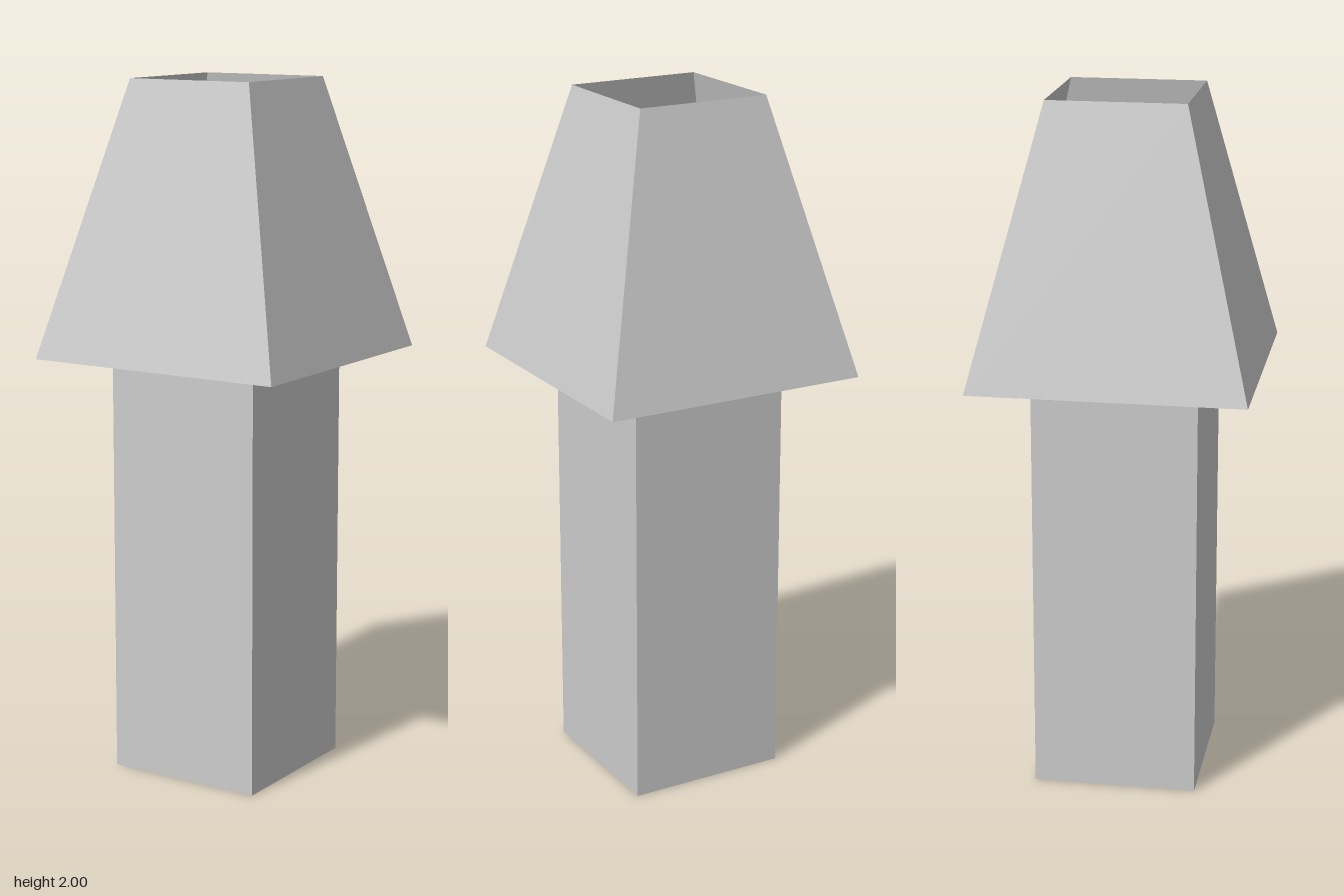
import * as THREE from 'three';

const STEM_WIDTH = 0.47, STEM_HEIGHT = 1.78;
const SHADE_BOTTOM = 1.22, SHADE_TOP = 2;
const SHADE_BOTTOM_HALF = 0.39, SHADE_TOP_HALF = 0.195;

export function createModel() {
  const group = new THREE.Group();
  group.name = 'lamp';

  const grey = new THREE.MeshStandardMaterial({ color: 0xcccccc, flatShading: true, side: THREE.DoubleSide });
  grey.name = 'light grey';

  // Square stem, reaching up inside the shade
  const stem = new THREE.Mesh(new THREE.BoxGeometry(STEM_WIDTH, STEM_HEIGHT, STEM_WIDTH), grey);
  stem.name = 'stem';
  stem.position.y = STEM_HEIGHT / 2;
  group.add(stem);

  // Thin four-sided shade, open at top and bottom
  const shadeGeometry = new THREE.CylinderGeometry(
    SHADE_TOP_HALF * Math.SQRT2, SHADE_BOTTOM_HALF * Math.SQRT2, SHADE_TOP - SHADE_BOTTOM, 4, 1, true);
  shadeGeometry.rotateY(Math.PI / 4);
  const shade = new THREE.Mesh(shadeGeometry, grey);
  shade.name = 'shade';
  shade.position.y = (SHADE_BOTTOM + SHADE_TOP) / 2;
  group.add(shade);

  return group;
}
